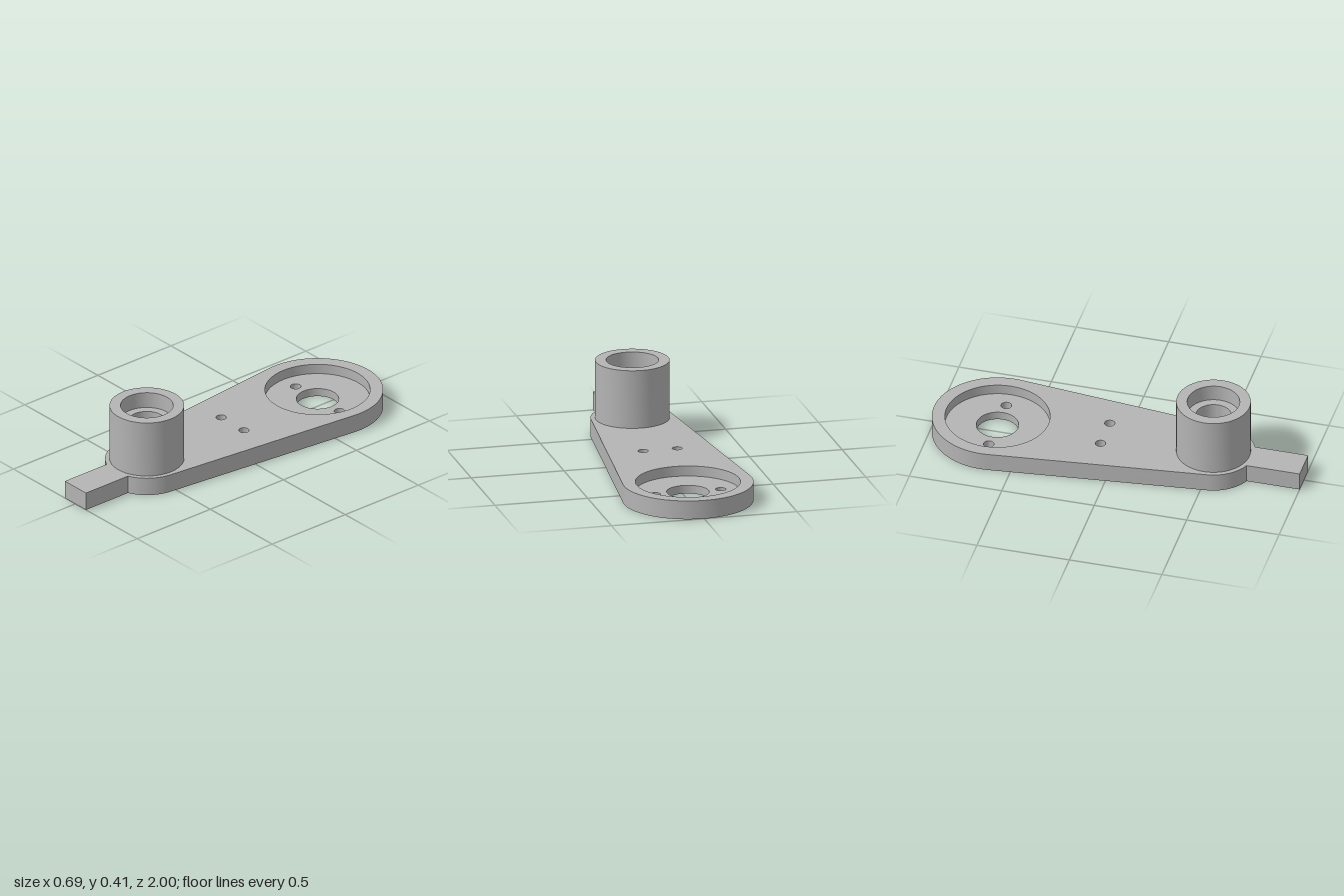
import * as THREE from 'three';
import { toCreasedNormals } from 'three/addons/utils/BufferGeometryUtils.js';

const BIG = { z: -0.657, r: 0.343 };    // wide rounded end
const SMALL = { z: 0.511, r: 0.219 };   // narrow rounded end under the hub
const THICK = 0.1, FLOOR = 0.045;       // plate height, pocket floor height
const TAB = 0.0855;                     // half width of the tab
const BORE = 0.1375, WEB = 0.094, HUB = 0.195;

// Tapered outline with the tab; shape y is -z
function plateOutline() {
  const lean = Math.asin((BIG.r - SMALL.r) / (SMALL.z - BIG.z));
  const join = Math.acos(TAB / SMALL.r);
  const s = new THREE.Shape();
  s.moveTo(-TAB, -1);
  s.lineTo(TAB, -1);
  s.absarc(0, -SMALL.z, SMALL.r, -join, -lean, false);
  s.absarc(0, -BIG.z, BIG.r, -lean, Math.PI + lean, false);
  s.absarc(0, -SMALL.z, SMALL.r, Math.PI + lean, Math.PI + join, false);
  s.closePath();
  return s;
}

// One slab of the plate, pierced by round holes given as [x, z, radius]
function slab(name, y, height, holes, material) {
  const shape = plateOutline();
  for (const [x, z, r] of holes) {
    shape.holes.push(new THREE.Path().absarc(x, -z, r, 0, Math.PI * 2, true));
  }
  const geo = new THREE.ExtrudeGeometry(shape, { depth: height, bevelEnabled: false, curveSegments: 32 });
  geo.rotateX(-Math.PI / 2);
  geo.translate(0, y, 0);
  const mesh = new THREE.Mesh(toCreasedNormals(geo, 0.4), material);
  mesh.name = name;
  return mesh;
}

const pair = (x, z, r) => [[-x, z, r], [x, z, r]];

export function createModel() {
  const grey = new THREE.MeshStandardMaterial({ color: 0xb4b4b4 });
  grey.name = 'plain grey';
  const group = new THREE.Group();
  group.name = 'pivotArm';

  const hubBore = [0, SMALL.z, BORE];

  // Lower slab: pocket floor, shaft hole, screw holes, blind holes from below
  group.add(slab('lowerPlate', 0, FLOOR, [
    hubBore,
    [0, BIG.z, 0.111],
    ...pair(0.177, BIG.z, 0.028),
    ...pair(0.146, 0.11, 0.027),
  ], grey));

  // Upper slab: wide round pocket and blind holes from above
  group.add(slab('upperPlate', FLOOR, THICK - FLOOR, [
    hubBore,
    [0, BIG.z, 0.275],
    ...pair(0.092, -0.075, 0.027),
  ], grey));

  // Hub: tube with a bearing seat at each end and a narrower web between
  const profile = [
    [WEB, 0.0875], [BORE, 0.0875], [BORE, THICK], [HUB, THICK], [HUB, 0.415],
    [BORE, 0.415], [BORE, 0.3275], [WEB, 0.3275], [WEB, 0.0875],
  ].map(([x, y]) => new THREE.Vector2(x, y));
  const hub = new THREE.Mesh(toCreasedNormals(new THREE.LatheGeometry(profile, 64), 0.4), grey);
  hub.name = 'bearingHub';
  hub.position.z = SMALL.z;
  group.add(hub);

  return group;
}
